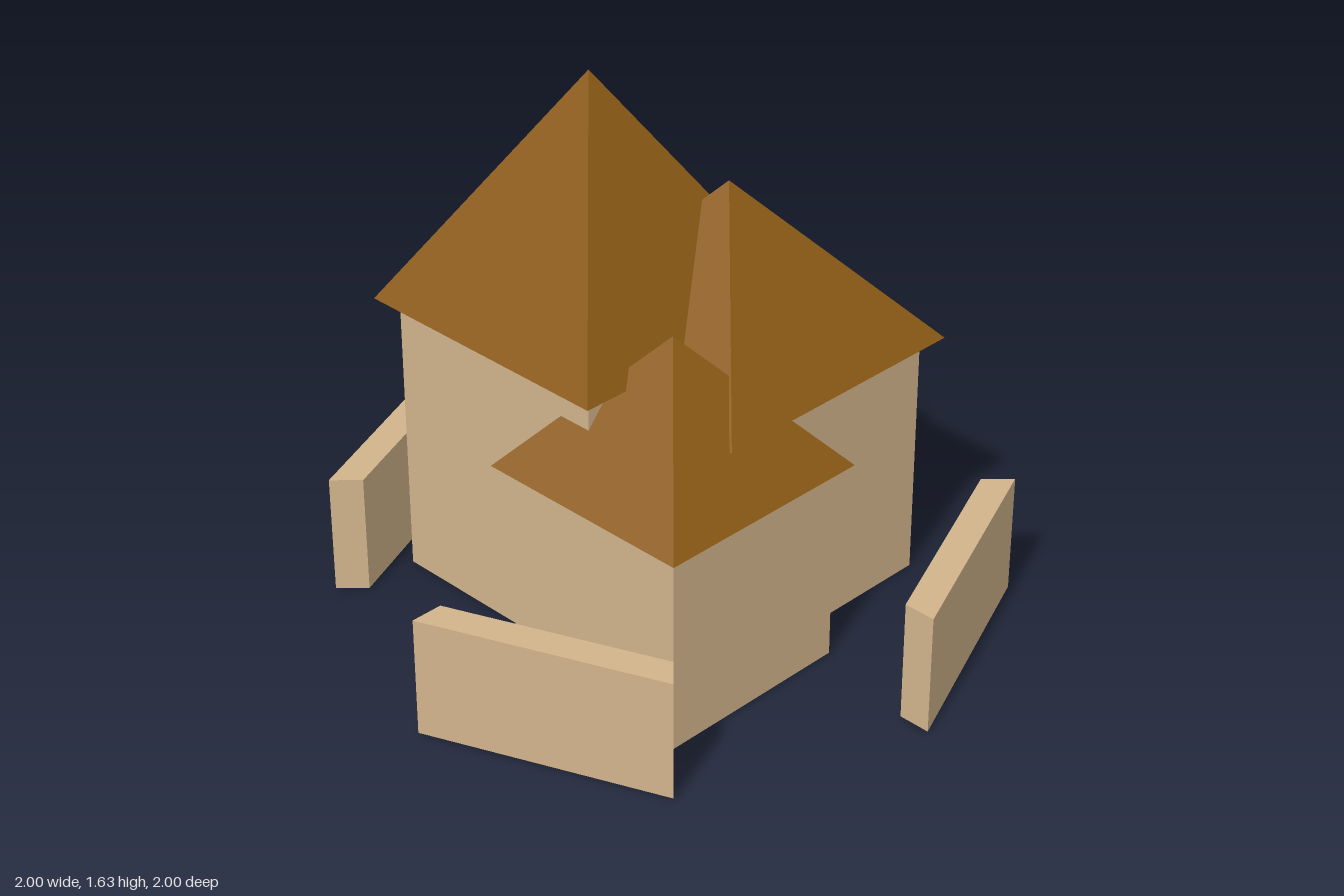
import * as THREE from 'three';

const WALL = new THREE.MeshStandardMaterial({ color: 0xd2b48c, flatShading: true });
const ROOF = new THREE.MeshStandardMaterial({ color: 0x8b5a14, flatShading: true });

// Square house block with an overhanging pyramid roof
function createTower(name, { x, z, half, eaves, overhang, apex }) {
  const tower = new THREE.Group();
  tower.name = name;
  tower.position.set(x, 0, z);

  const body = new THREE.Mesh(new THREE.BoxGeometry(half * 2, eaves, half * 2), WALL);
  body.name = 'walls';
  body.position.y = eaves / 2;

  const height = apex - eaves;
  const pyramid = new THREE.ConeGeometry((half + overhang) * Math.SQRT2, height, 4).rotateY(Math.PI / 4);
  const roof = new THREE.Mesh(pyramid, ROOF);
  roof.name = 'roof';
  roof.position.y = eaves + height / 2;

  tower.add(body, roof);
  return tower;
}

// One side of an octagonal ring, mitred at both ends
function createFenceGeometry(outer, inner, bottom, top) {
  const c = Math.SQRT1_2;
  const plan = new THREE.Shape([
    new THREE.Vector2(0, inner),
    new THREE.Vector2(inner * c, inner * c),
    new THREE.Vector2(outer * c, outer * c),
    new THREE.Vector2(0, outer),
  ]);
  return new THREE.ExtrudeGeometry(plan, { depth: top - bottom, bevelEnabled: false })
    .rotateX(Math.PI / 2)
    .translate(0, top, 0);
}

export function createModel() {
  const model = new THREE.Group();
  model.name = 'house';

  model.add(
    createTower('tallTower', { x: -0.055, z: -0.27, half: 0.39, eaves: 0.91, overhang: 0.052, apex: 1.63 }),
    createTower('middleTower', { x: 0.203, z: 0.023, half: 0.393, eaves: 0.79, overhang: 0.05, apex: 1.3 }),
    createTower('lowTower', { x: -0.227, z: 0.228, half: 0.319, eaves: 0.64, overhang: 0.039, apex: 1.055 }),
  );

  // Every other side of the surrounding ring has a wall
  const fence = createFenceGeometry(1, 0.9, 0.008, 0.388);
  for (let i = 0; i < 4; i++) {
    const wall = new THREE.Mesh(fence, WALL);
    wall.name = `gardenWall${i + 1}`;
    wall.rotation.y = (i * Math.PI) / 2;
    model.add(wall);
  }
  return model;
}
